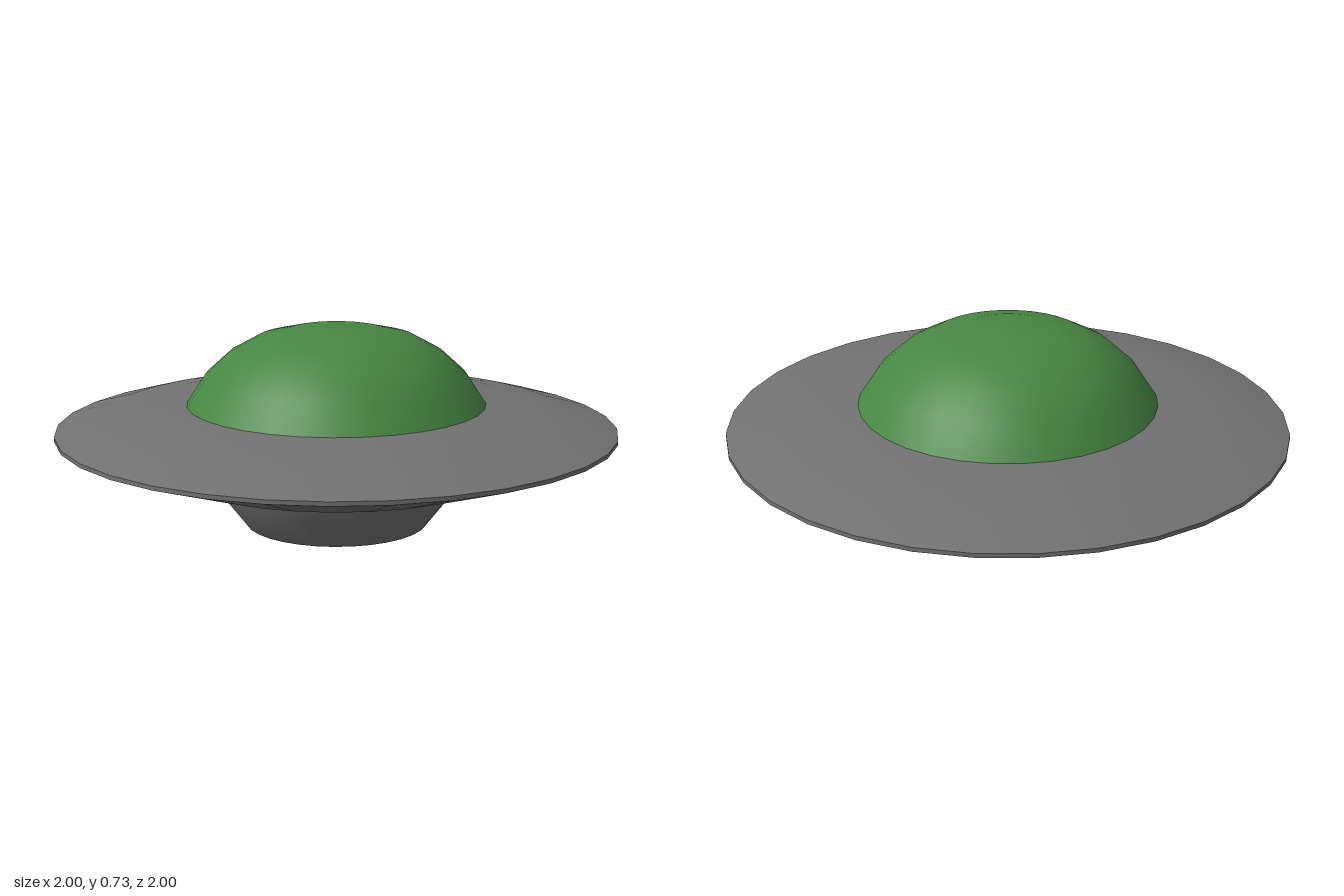
import * as THREE from 'three';

const SEGMENTS = 32;

export function createModel() {
  const group = new THREE.Group();
  const material = (name, color) => new THREE.MeshStandardMaterial({ name, color });
  const hullGrey = material('hull grey', 0x727272);
  const domeGreen = material('dome green', 0x478742);

  // Each band runs from bottom to top; separate bands keep their shared edges sharp.
  const band = (name, mat, profile) => {
    const points = profile.map(([r, y]) => new THREE.Vector2(r, y));
    const mesh = new THREE.Mesh(new THREE.LatheGeometry(points, SEGMENTS), mat);
    mesh.name = name;
    group.add(mesh);
  };

  // Lower pod
  band('podBase', hullGrey, [[0, 0], [0.18, 0.005], [0.325, 0.02]]);
  band('podWall', hullGrey, [[0.325, 0.02], [0.41, 0.13], [0.44, 0.23]]);

  // Saucer disc
  band('saucerUnderside', hullGrey, [[0.43, 0.23], [0.63, 0.23], [1, 0.355]]);
  band('saucerRim', hullGrey, [[1, 0.355], [1, 0.37]]);
  band('saucerTop', hullGrey, [[1, 0.37], [0.84, 0.415], [0.69, 0.442], [0.53, 0.458]]);

  // Cockpit dome
  band('dome', domeGreen, [
    [0.533, 0.457], [0.465, 0.562], [0.38, 0.64], [0.28, 0.695], [0.17, 0.722], [0, 0.726],
  ]);

  return group;
}
